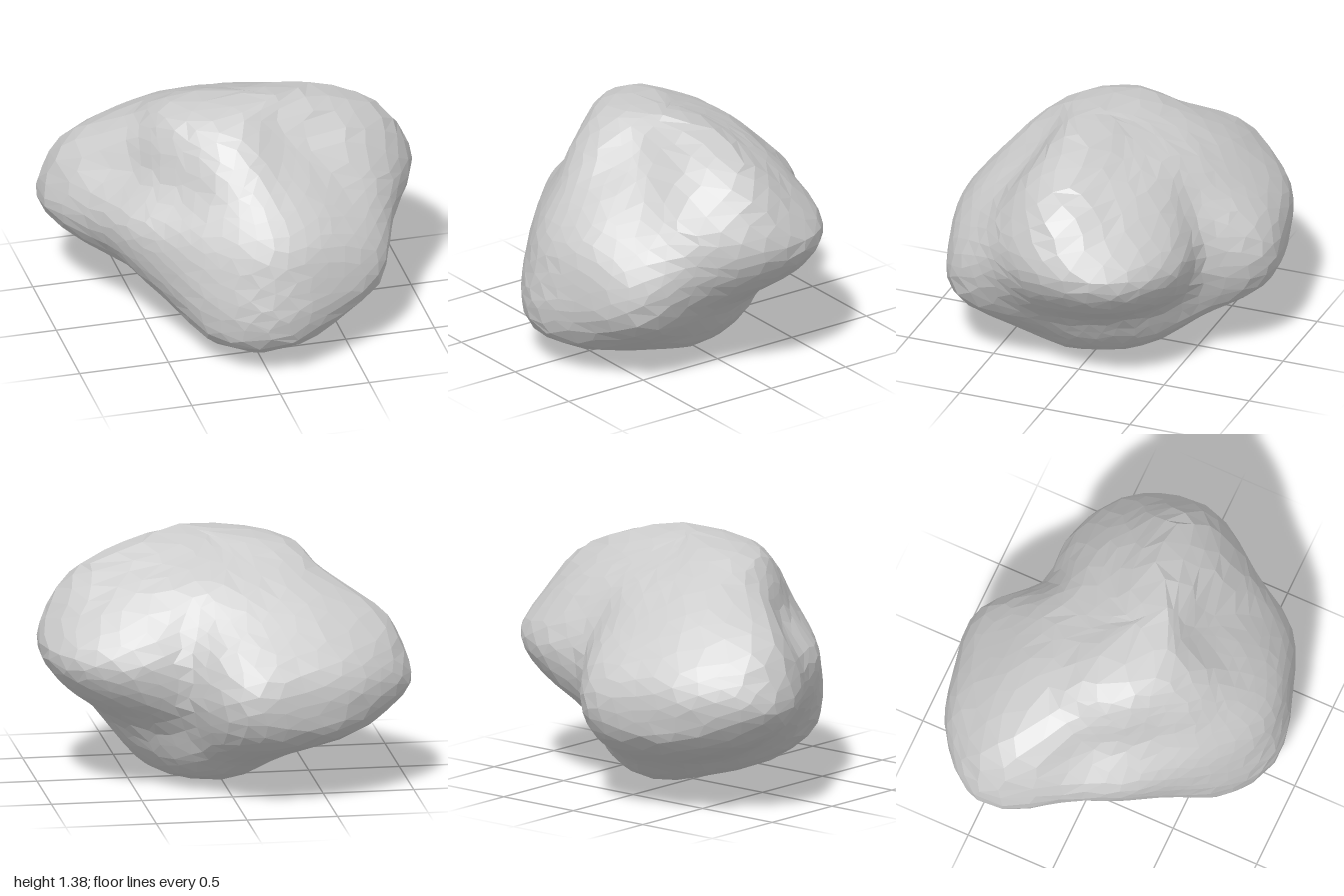
import * as THREE from 'three';

// Boulder cross-sections, bottom to top: height, then 16 radii
// going round from the left side (+x) through the front (+z).
const SECTIONS = [
  [0.06, [.36, .40, .40, .48, .56, .46, .28, .20, .16, .16, .19, .25, .31, .32, .33, .34]],
  [0.20, [.52, .56, .66, .79, .84, .73, .53, .42, .38, .40, .47, .52, .52, .49, .48, .49]],
  [0.38, [.65, .73, .90, .89, .90, .79, .66, .61, .62, .83, .92, .88, .80, .58, .57, .61]],
  [0.58, [.88, .86, .94, .89, .87, .77, .70, .71, .79, 1.07, 1.05, .95, .90, .67, .77, .88]],
  [0.78, [1.0, .90, .86, .84, .81, .71, .67, .71, .79, 1.05, 1.02, .91, .84, .67, .84, .99]],
  [0.98, [.95, .84, .68, .68, .67, .60, .54, .55, .62, .93, .84, .72, .65, .58, .71, .85]],
  [1.18, [.80, .67, .45, .42, .49, .49, .46, .48, .52, .59, .55, .46, .42, .42, .48, .61]],
  [1.33, [.49, .42, .30, .27, .30, .32, .33, .35, .36, .30, .17, .11, .08, .09, .13, .25]],
];
const BOTTOM = new THREE.Vector3(0.08, 0, 0.02);
const TOP = new THREE.Vector3(0.18, 1.395, 0.14);

// Smooth periodic interpolation of a ring of radii
function ringRadius(radii, angle) {
  const n = radii.length;
  const t = (angle / (2 * Math.PI) + 1) * n;
  const i = Math.floor(t), f = t - i;
  const [a, b, c, d] = [-1, 0, 1, 2].map((k) => radii[(i + k + n) % n]);
  return b + 0.5 * f * (c - a + f * (2 * a - 5 * b + 4 * c - d + f * (3 * (b - c) + d - a)));
}

// Point on the boulder for a direction on the unit sphere
function boulderPoint(dir) {
  const angle = Math.atan2(dir.z, dir.x);
  const column = SECTIONS.map(([y, radii]) => {
    const r = ringRadius(radii, angle);
    return new THREE.Vector3(r * Math.cos(angle), y, r * Math.sin(angle));
  });
  const curve = new THREE.CatmullRomCurve3([BOTTOM, ...column, TOP], false, 'catmullrom', 0.5);
  return curve.getPoint(1 - Math.acos(THREE.MathUtils.clamp(dir.y, -1, 1)) / Math.PI);
}

export function createModel() {
  const group = new THREE.Group();
  group.name = 'boulder';

  const geometry = new THREE.IcosahedronGeometry(1, 8);
  const pos = geometry.attributes.position;
  const dir = new THREE.Vector3();
  for (let i = 0; i < pos.count; i++) {
    dir.fromBufferAttribute(pos, i);
    // Slide the vertices a little so the facets look irregular
    const { x, y, z } = dir;
    dir.x += 0.03 * Math.sin(17 * y + 23 * z);
    dir.y += 0.03 * Math.sin(19 * z + 21 * x);
    dir.z += 0.03 * Math.sin(18 * x + 25 * y);
    const p = boulderPoint(dir.normalize());
    pos.setXYZ(i, p.x, p.y, p.z);
  }
  geometry.computeVertexNormals();

  const rock = new THREE.Mesh(
    geometry,
    new THREE.MeshStandardMaterial({ color: 0xcccccc, flatShading: true })
  );
  rock.name = 'rock';
  group.add(rock);
  return group;
}
